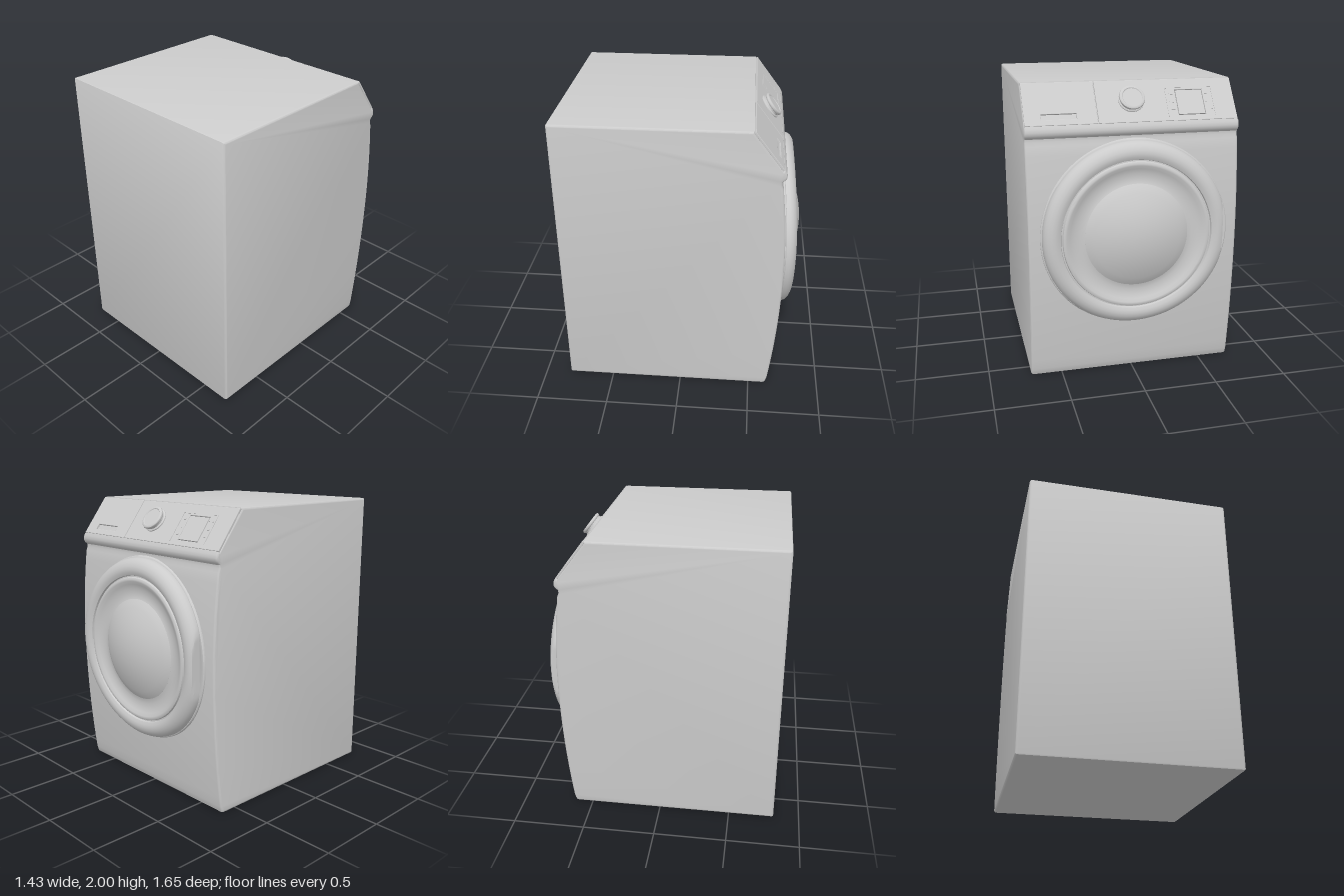
import * as THREE from 'three';
import { mergeVertices, toCreasedNormals } from 'three/addons/utils/BufferGeometryUtils.js';

const grey = new THREE.MeshStandardMaterial({ color: 0xcccccc });
const DOOR_Y = 1.01;

// Depth of the bowed front wall (towards -z) at height y
const front = (y) => 0.7 - (y > 1 ? 0.11 : 0.07) * (y - 1) ** 2;

function add(parent, name, geometry, x = 0, y = 0, z = 0) {
  const mesh = new THREE.Mesh(geometry, grey);
  mesh.name = name;
  mesh.position.set(x, y, z);
  parent.add(mesh);
  return mesh;
}

const vec = (pairs) => pairs.map(([x, y]) => new THREE.Vector2(x, y));

function rect(x0, x1, y0, y1, Type = THREE.Shape) {
  return new Type(vec([[x0, y0], [x1, y0], [x1, y1], [x0, y1]]));
}

// Side profile (depth, height) swept across the width with rounded side edges
function bodyGeometry() {
  const pts = [[-0.808, 0], [0.605, 0], [0.622, 0.006], [0.63, 0.025]];
  for (let i = 0; i <= 24; i++) {
    const y = 0.05 + (i / 24) * 1.57;
    pts.push([front(y), y]);
  }
  // Undercut, panel lip, slanted panel bed, top and back
  pts.push([0.648, 1.645], [0.649, 1.665], [0.665, 1.677], [0.675, 1.692], [0.677, 1.71],
    [0.672, 1.73], [0.66, 1.75], [0.65, 1.743], [0.462, 1.99], [0.46, 2],
    [-0.81, 2], [-0.817, 1.997], [-0.82, 1.99], [-0.82, 0.012], [-0.817, 0.004]);
  const b = 0.016;
  const width = 1.43;
  const geo = new THREE.ExtrudeGeometry(new THREE.Shape(vec(pts)), {
    depth: width - 2 * b, bevelThickness: b, bevelSize: b, bevelOffset: -b, bevelSegments: 4,
  });
  geo.translate(0, 0, -width / 2 + b);
  geo.rotateY(Math.PI / 2);
  return toCreasedNormals(geo, 0.6);
}

// Round part turned about the door axis, bent to follow the bowed front wall
function doorGeometry(profile, leftLimit = -1) {
  const geo = new THREE.LatheGeometry(vec(profile), 96);
  geo.rotateX(-Math.PI / 2);
  const p = geo.attributes.position;
  for (let i = 0; i < p.count; i++) {
    const y = p.getY(i) + DOOR_Y;
    p.setXYZ(i, Math.max(p.getX(i), leftLimit), y, p.getZ(i) - front(y));
  }
  geo.deleteAttribute('normal');
  geo.deleteAttribute('uv');
  return toCreasedNormals(mergeVertices(geo, 1e-5), 0.7);
}

function plate(shape, depth) {
  const b = 0.003;
  return new THREE.ExtrudeGeometry(shape, {
    depth: depth - b, bevelThickness: b, bevelSize: b, bevelOffset: -b, bevelSegments: 2, curveSegments: 16,
  });
}

function buildPanel() {
  // Local axes: x runs to the model's -x, y up the slope, z out of the panel
  const panel = new THREE.Group();
  panel.name = 'controlPanel';
  const up = new THREE.Vector3(0, 0.796, 0.605);
  const out = new THREE.Vector3(0, 0.605, -0.796);
  panel.setRotationFromMatrix(new THREE.Matrix4().makeBasis(new THREE.Vector3(-1, 0, 0), up, out));
  panel.position.set(0, 1.875, -0.565);

  // Cover plates with a seam between the drawer side and the control side
  const cover = rect(-0.232, 0.708, -0.155, 0.155);
  cover.holes.push(rect(0.305, 0.495, -0.115, 0.072, THREE.Path));
  add(panel, 'controlCover', plate(cover, 0.012), 0, 0, -0.012);
  const drawer = rect(-0.708, -0.238, -0.155, 0.155);
  drawer.holes.push(rect(-0.6, -0.37, -0.115, -0.075, THREE.Path));
  add(panel, 'drawerFront', plate(drawer, 0.012), 0, 0, -0.012);

  // Screen set in its opening, with outline bars and small keys beside it
  add(panel, 'screen', new THREE.BoxGeometry(0.18, 0.177, 0.012), 0.4, -0.0215, -0.006);
  const bar = (name, w, h, x, y) => add(panel, name, new THREE.BoxGeometry(w, h, 0.006), x, y, 0);
  bar('displayOutline', 0.005, 0.215, 0.56, -0.02);
  bar('displayOutline', 0.005, 0.215, 0.24, -0.02);
  bar('displayOutline', 0.11, 0.005, 0.295, 0.087);
  bar('displayOutline', 0.05, 0.005, 0.535, 0.087);
  for (const y of [-0.075, -0.02, 0.04]) {
    bar('key', 0.04, 0.006, 0.527, y);
    bar('key', 0.028, 0.006, 0.273, y);
  }

  // Dial: skirt, waist and rounded cap with a dished face
  const dial = new THREE.LatheGeometry(vec([
    [0.087, -0.005], [0.087, 0.006], [0.083, 0.01], [0.077, 0.012], [0.077, 0.022], [0.083, 0.026],
    [0.086, 0.033], [0.084, 0.041], [0.077, 0.046], [0.068, 0.046], [0.064, 0.042], [0, 0.042],
  ]), 48);
  dial.rotateX(Math.PI / 2);
  add(panel, 'dial', toCreasedNormals(dial, 0.7), 0, 0.005, 0);
  return panel;
}

export function createModel() {
  const model = new THREE.Group();
  model.name = 'washingMachine';
  add(model, 'cabinet', bodyGeometry());
  model.add(buildPanel());

  const door = new THREE.Group();
  door.name = 'door';
  // Seat ring around the opening
  add(door, 'doorSeat', doorGeometry([
    [0.64, -0.02], [0.638, 0.008], [0.632, 0.014], [0.615, 0.015], [0.605, 0.008], [0.56, 0.008],
  ]));
  // Door rim, cut straight on the handle side
  add(door, 'doorRim', doorGeometry([
    [0.622, -0.01], [0.628, 0.015], [0.625, 0.04], [0.615, 0.058], [0.598, 0.073], [0.575, 0.083],
    [0.552, 0.085], [0.53, 0.08], [0.512, 0.07], [0.508, 0.055], [0.5, 0.055],
    [0.496, 0.068], [0.485, 0.073], [0.472, 0.07], [0.45, 0.056], [0.42, 0.044],
    [0.385, 0.038], [0.355, 0.04], [0.34, 0.045],
  ], -0.59));
  // Domed glass
  const dome = [[0.352, 0.03], [0.35, 0.042]];
  for (let i = 1; i <= 14; i++) {
    const r = 0.345 * (1 - i / 14);
    dome.push([r, 0.048 + 0.08 * (1 - (r / 0.345) ** 2)]);
  }
  add(door, 'doorGlass', doorGeometry(dome));
  model.add(door);
  return model;
}
